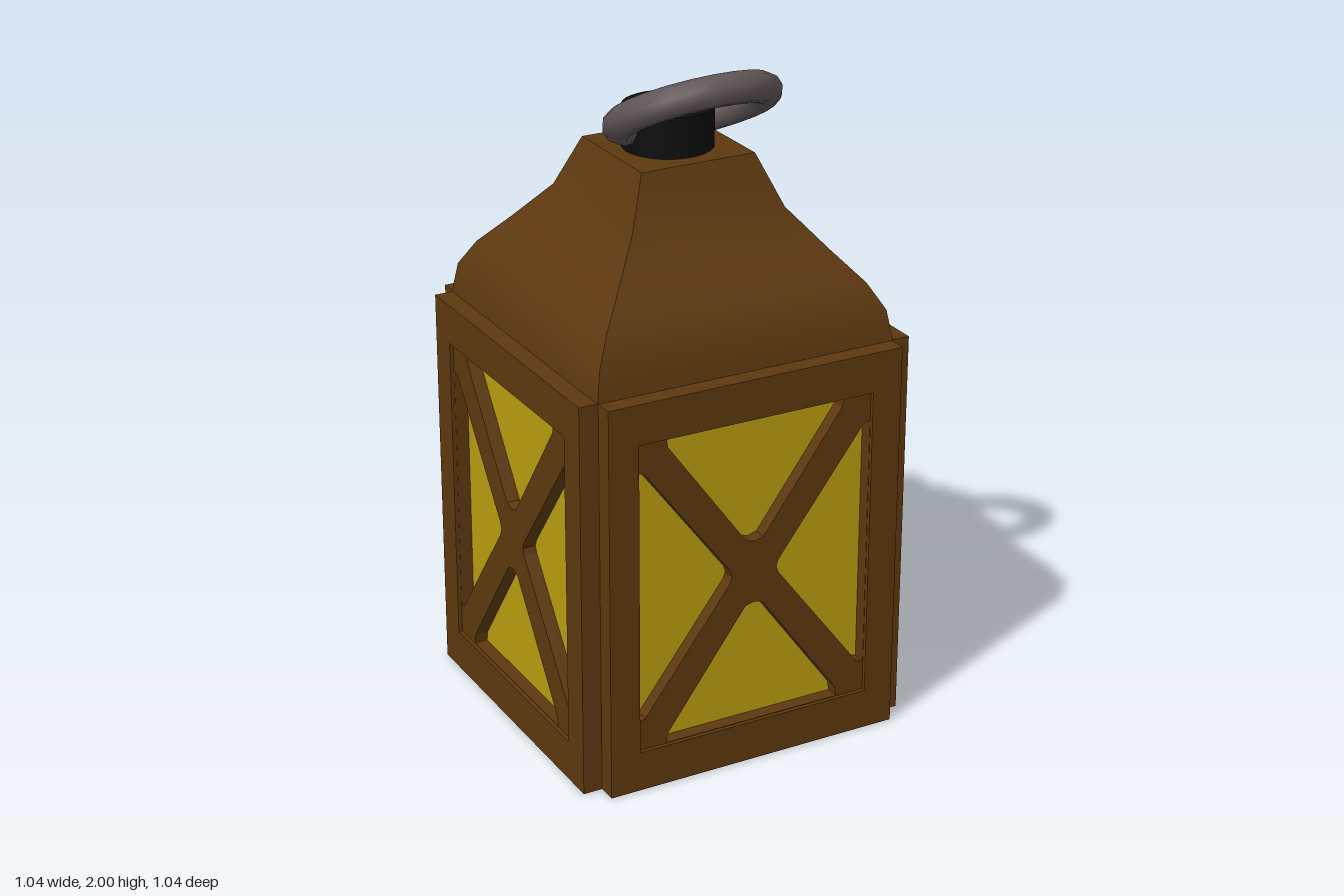
import * as THREE from 'three';
import { toCreasedNormals } from 'three/addons/utils/BufferGeometryUtils.js';

const material = (name, color) => {
  const m = new THREE.MeshStandardMaterial({ color });
  m.name = name;
  return m;
};

function polygon(points, Type = THREE.Shape) {
  return new Type(points.map(([x, y]) => new THREE.Vector2(x, y)));
}

const rectangle = (w, y0, y1) => [[-w, y0], [w, y0], [w, y1], [-w, y1]];

// A pierced plate from depth z0 to z1
function plate(outline, holes, z0, z1) {
  const shape = polygon(outline);
  shape.holes = holes.map((h) => polygon(h, THREE.Path));
  const g = new THREE.ExtrudeGeometry(shape, { depth: z1 - z0, bevelEnabled: false });
  return g.translate(0, 0, z0);
}

export function createModel() {
  const wood = material('brown wood', 0x5c380f);
  const glass = material('yellow glass', 0xb89c0e);
  const black = material('black cap', 0x0d0d0d);
  const iron = material('grey iron', 0x5e5456);

  const lantern = new THREE.Group();
  lantern.name = 'lantern';
  const add = (parent, name, geometry, mat) => {
    const mesh = new THREE.Mesh(geometry, mat);
    mesh.name = name;
    parent.add(mesh);
    return mesh;
  };

  // Body core behind the four side panels
  const half = 0.462, height = 1.19, midY = 0.597;
  add(lantern, 'body', new THREE.BoxGeometry(half * 2, height, half * 2).translate(0, height / 2, 0), wood);

  // Gaps between the crossed bars: top and left, mirrored to bottom and right
  const topGap = [[-0.28, 1.07], [-0.275, 1.04], [-0.028, 0.70], [0, 0.692],
    [0.028, 0.70], [0.275, 1.04], [0.28, 1.07]];
  const leftGap = [[-0.369, 0.98], [-0.348, 0.975], [-0.078, 0.617], [-0.071, 0.597],
    [-0.078, 0.577], [-0.348, 0.219], [-0.369, 0.214]];
  const gaps = [
    topGap, leftGap,
    topGap.map(([x, y]) => [x, 2 * midY - y]),
    leftGap.map(([x, y]) => [-x, y]),
  ];

  const frameGeo = plate(rectangle(half, 0, height), [rectangle(0.37, 0.122, 1.07)], half, 0.52);
  const barsGeo = plate(rectangle(0.4, 0.09, 1.1), gaps, half, 0.508);
  const paneGeo = new THREE.BoxGeometry(0.76, 0.97, 0.006).translate(0, midY, half + 0.003);

  // Four identical sides
  ['front', 'left', 'back', 'right'].forEach((side, i) => {
    const panel = new THREE.Group();
    panel.name = side + 'Panel';
    panel.rotation.y = i * Math.PI / 2;
    add(panel, 'frame', frameGeo, wood);
    add(panel, 'crossBars', barsGeo, wood);
    add(panel, 'pane', paneGeo, glass);
    lantern.add(panel);
  });

  // Square roof with a swept profile of half-width and height
  const profile = [[0.465, 1.19], [0.45, 1.28], [0.408, 1.355], [0.33, 1.445],
    [0.24, 1.555], [0.178, 1.705], [0, 1.705]]
    .map(([w, y]) => new THREE.Vector2(w * Math.SQRT2, y));
  const roofGeo = new THREE.LatheGeometry(profile, 4, Math.PI / 4);
  add(lantern, 'roof', toCreasedNormals(roofGeo, 0.6), wood);

  // Cap on the roof
  add(lantern, 'cap', new THREE.CylinderGeometry(0.131, 0.131, 0.125, 32).translate(0, 1.76, 0), black);

  // Carrying ring, leaning forward out of the cap
  const ring = add(lantern, 'ring', new THREE.TorusGeometry(0.21, 0.045, 10, 22), iron);
  ring.position.set(0, 1.85, 0.14);
  ring.rotation.x = Math.PI / 3;

  return lantern;
}
